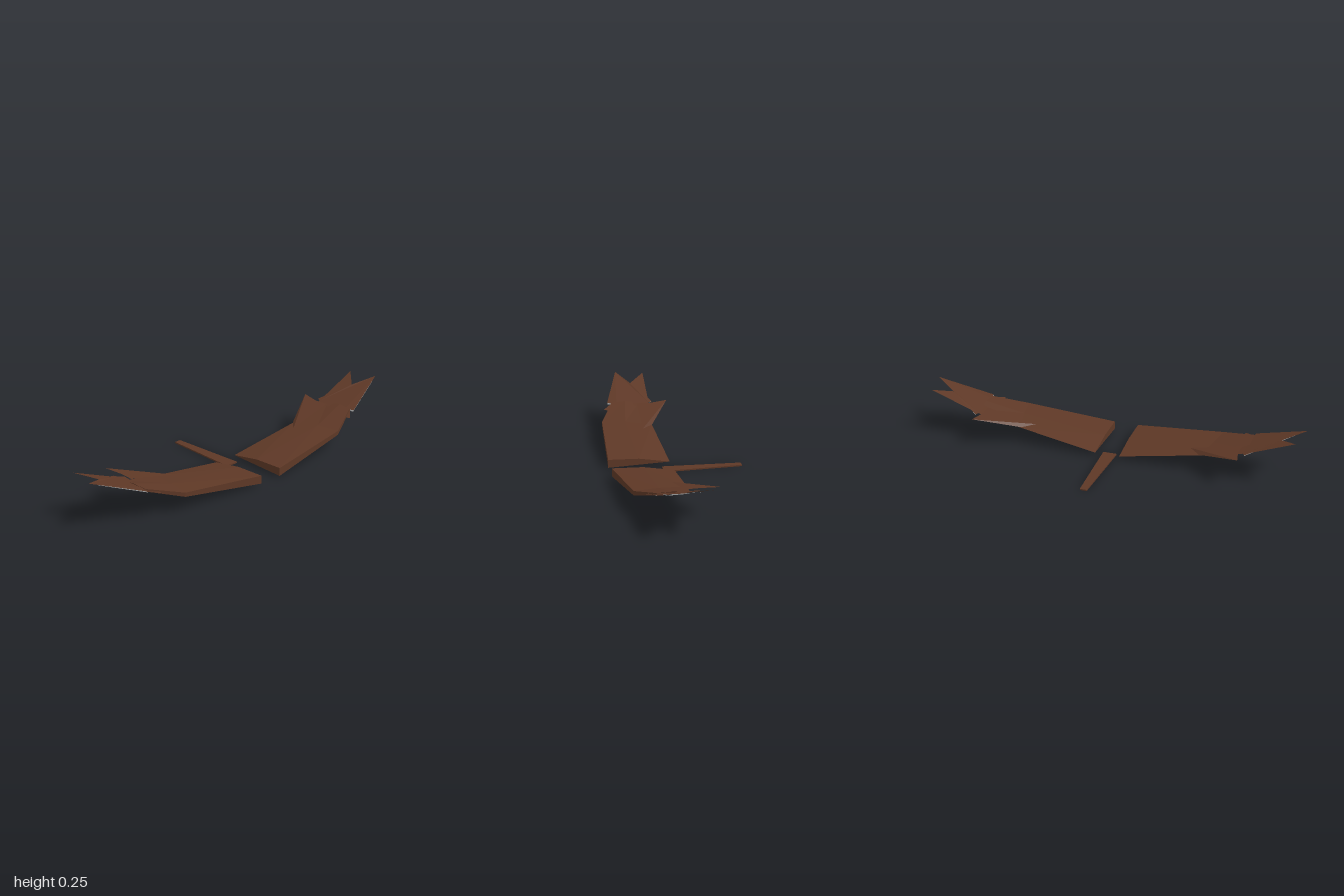
import * as THREE from 'three';

const brown = new THREE.MeshStandardMaterial({ color: 0x5e3826, side: THREE.DoubleSide, flatShading: true });
brown.name = 'brownFeather';
const grey = new THREE.MeshStandardMaterial({ color: 0x909090, side: THREE.DoubleSide, flatShading: true });
grey.name = 'greyUnderside';

function meshFrom(name, points, index, material) {
  let geometry = new THREE.BufferGeometry();
  geometry.setAttribute('position', new THREE.Float32BufferAttribute(points.flat(), 3));
  geometry.setIndex(index);
  geometry = geometry.toNonIndexed();
  geometry.computeVertexNormals();
  const mesh = new THREE.Mesh(geometry, material);
  mesh.name = name;
  return mesh;
}

// Joins equal-sized rings of points and closes both ends; flip reverses the corners.
function loft(name, rings, material, flip) {
  const n = rings[0].length;
  const faces = [];
  for (let r = 0; r < rings.length - 1; r++) {
    for (let i = 0; i < n; i++) {
      const a = r * n + i, b = r * n + (i + 1) % n;
      faces.push([a, b, b + n], [a, b + n, a + n]);
    }
  }
  const last = (rings.length - 1) * n;
  for (let i = 1; i < n - 1; i++) {
    faces.push([0, i + 1, i], [last, last + i, last + i + 1]);
  }
  const index = faces.flatMap(([a, b, c]) => (flip ? [a, c, b] : [a, b, c]));
  return meshFrom(name, rings.flat(), index, material);
}

// Thin open sheet bounded by an outline seen from above.
function sheet(name, outline, material, side) {
  const flat = outline.map(([x, , z]) => new THREE.Vector2(x, z));
  // Corners face up for brown feathers and down for the grey undersides.
  const down = (material === grey) !== (side < 0);
  const clockwise = THREE.ShapeUtils.isClockWise(flat);
  const index = THREE.ShapeUtils.triangulateShape(flat, [])
    .flatMap(([a, b, c]) => (down !== clockwise ? [a, b, c] : [a, c, b]));
  return meshFrom(name, outline.map(([x, y, z]) => [x, y, z * side]), index, material);
}

function makeWing(side) {
  const wing = new THREE.Group();
  wing.name = side > 0 ? 'frontWing' : 'backWing';

  // Wedge sections: trailing edge, under middle, lower and upper leading edge, upper middle
  const sections = [
    [[0.02, 0.02, 0.065], [0.18, 0.03, 0.065], [0.34, 0.007, 0.065], [0.34, 0.05, 0.065], [0.18, 0.046, 0.065]],
    [[0.04, 0.088, 0.49], [0.18, 0.085, 0.53], [0.305, 0.08, 0.54], [0.305, 0.102, 0.54], [0.18, 0.102, 0.52]],
    [[0.07, 0.145, 0.72], [0.15, 0.143, 0.725], [0.225, 0.14, 0.72], [0.225, 0.153, 0.72], [0.15, 0.157, 0.725]],
  ].map(ring => ring.map(([x, y, z]) => [x, y, z * side]));
  wing.add(loft('wingBody', sections, brown, side < 0));

  // Split feather at the wing end
  wing.add(sheet('tipFeathers', [
    [0.02, 0.133, 0.67], [0.02, 0.145, 0.71], [0, 0.147, 0.72], [0.017, 0.16, 0.755],
    [0.01, 0.245, 0.97], [0.095, 0.212, 0.885], [0.163, 0.25, 1],
    [0.25, 0.15, 0.725], [0.2, 0.149, 0.71],
  ], brown, side));

  // Feather spreading behind the trailing edge
  wing.add(sheet('sideFeather', [
    [0.04, 0.09, 0.48], [-0.08, 0.156, 0.705], [0.02, 0.15, 0.685],
    [0.09, 0.15, 0.69], [0.1, 0.09, 0.42],
  ], brown, side));

  // Small feather on the leading edge
  wing.add(sheet('leadingFeather', [
    [0.2, 0.125, 0.66], [0.25, 0.128, 0.655], [0.277, 0.131, 0.665], [0.225, 0.147, 0.725],
  ], brown, side));

  // Grey undersides
  wing.add(sheet('tipUnderside', [
    [0, 0.143, 0.72], [0.145, 0.232, 0.955], [0.178, 0.232, 0.955], [0.25, 0.143, 0.72],
  ], grey, side));
  wing.add(sheet('innerUnderside', [
    [0.05, 0.093, 0.575], [0.09, 0.139, 0.72], [0.2, 0.136, 0.72], [0.11, 0.104, 0.62],
  ], grey, side));
  return wing;
}

export function createModel() {
  const model = new THREE.Group();
  model.name = 'wingsAndTail';
  model.add(makeWing(1), makeWing(-1));

  // Flat tail, narrower toward its end
  const ring = (x, w) => [[x, 0, -w], [x, 0, w], [x, 0.007, w], [x, 0.007, -w]];
  model.add(loft('tail', [ring(-0.343, 0.018), ring(0.067, 0.036)], brown, true));
  return model;
}
